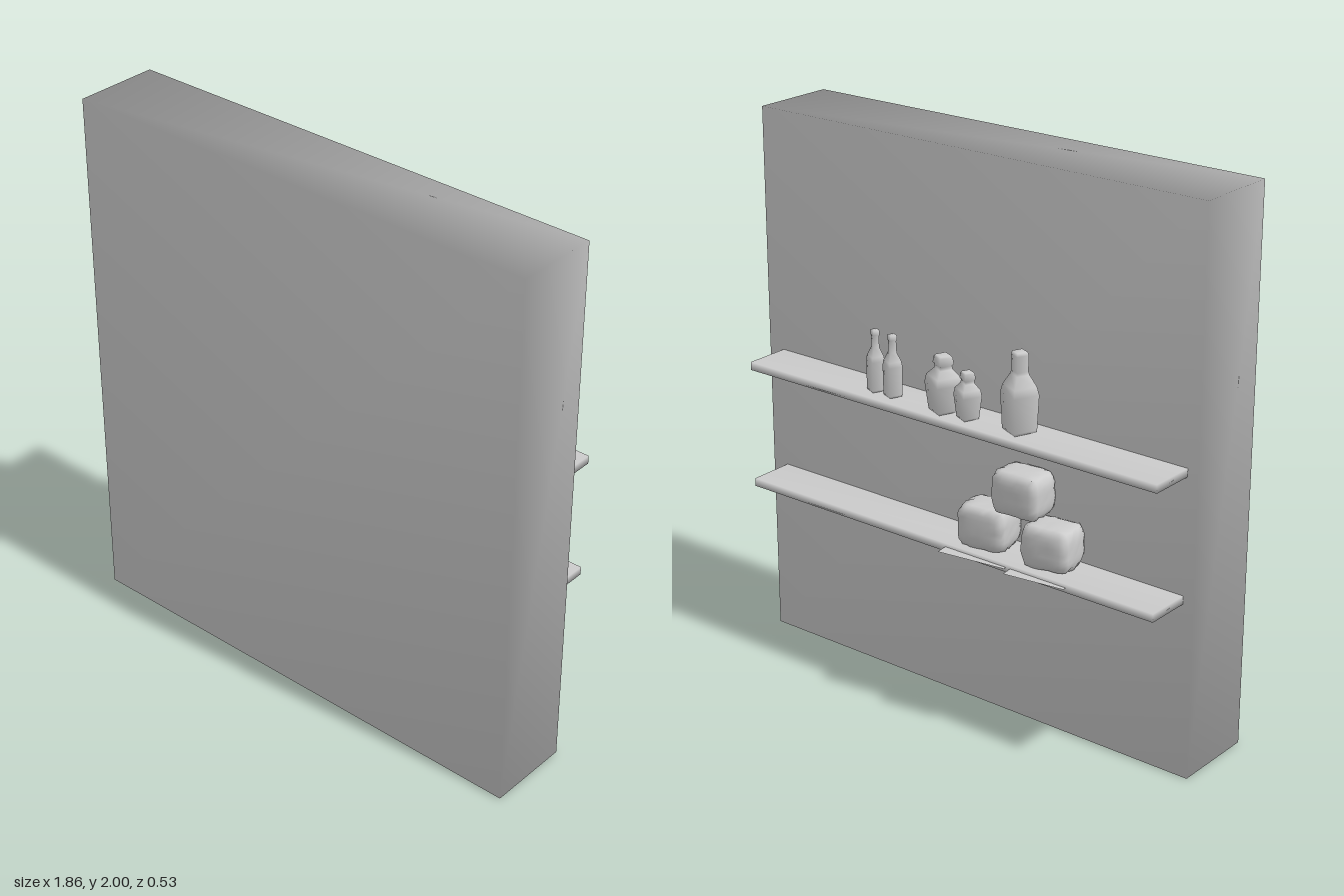
import * as THREE from 'three';
import { mergeVertices } from 'three/addons/utils/BufferGeometryUtils.js';

const material = new THREE.MeshStandardMaterial({ color: 0xcccccc });
const thinMaterial = new THREE.MeshStandardMaterial({ color: 0xcccccc, side: THREE.DoubleSide });

// Weld shared corners so that shading runs smoothly over the edges
function weld(geometry) {
  geometry.deleteAttribute('normal');
  geometry.deleteAttribute('uv');
  const welded = mergeVertices(geometry, 1e-4);
  welded.computeVertexNormals();
  return welded;
}

function add(parent, name, geometry, x, y, z, yaw = 0, mat = material) {
  const mesh = new THREE.Mesh(geometry, mat);
  mesh.name = name;
  mesh.position.set(x, y, z);
  mesh.rotation.y = yaw;
  parent.add(mesh);
  return mesh;
}

// Small seeded random numbers, from -1 to 1
function seeded(seed) {
  let s = seed;
  return () => {
    s = (s * 16807) % 2147483647;
    return (s / 2147483647) * 2 - 1;
  };
}

// Square bottle: profile radii and heights are fractions of r and h
function bottleGeometry(profile, r, h) {
  const points = profile.map(([pr, py]) => new THREE.Vector2(pr * r, py * h));
  const geometry = new THREE.LatheGeometry(points, 4);
  geometry.rotateY(Math.PI / 4);
  return geometry;
}

// Stuffed sack: a subdivided box with barrel sides, rounded corners and crumpled edges
function sackGeometry(w, h, d, seed) {
  const geometry = weld(new THREE.BoxGeometry(2, 2, 2, 8, 8, 8));
  const random = seeded(seed);
  const pos = geometry.attributes.position;
  const p = new THREE.Vector3();
  for (let i = 0; i < pos.count; i++) {
    p.fromBufferAttribute(pos, i);
    const { x, y, z } = p;
    const edge = (Math.abs(x) > 0.9) + (Math.abs(y) > 0.9) + (Math.abs(z) > 0.9) > 1;
    const noise = edge ? 0.035 : 0.012;
    p.x *= (1 - 0.14 * y ** 4) * (1 - 0.1 * z ** 4);
    p.z *= (1 - 0.14 * y ** 4) * (1 - 0.1 * x ** 4);
    p.y *= 1 - 0.09 * Math.max(x ** 4, z ** 4);
    p.x += random() * noise;
    p.y += random() * noise;
    p.z += random() * noise;
    pos.setXYZ(i, p.x * w / 2, p.y * h / 2, p.z * d / 2);
  }
  geometry.computeVertexNormals();
  return geometry;
}

export function createModel() {
  const model = new THREE.Group();
  model.name = 'wallWithShelves';

  // Thick wall panel
  add(model, 'wall', weld(new THREE.BoxGeometry(1.86, 2, 0.315)), 0, 1, 0.1075);

  // Two shelves on the back of the wall
  const shelf = weld(new THREE.BoxGeometry(1.755, 0.03, 0.172));
  add(model, 'lowerShelf', shelf, -0.0125, 0.65, -0.134);
  add(model, 'upperShelf', shelf, -0.0125, 1.099, -0.134);

  // Bottles on the upper shelf
  const slim = [[0, 0], [0.85, 0], [0.95, 0.04], [1, 0.5], [0.9, 0.58], [0.45, 0.72],
    [0.4, 0.9], [0.48, 0.92], [0.46, 1], [0, 1]];
  const tall = [[0, 0], [0.82, 0], [0.9, 0.04], [1, 0.48], [0.88, 0.58], [0.5, 0.72],
    [0.44, 0.76], [0.46, 0.96], [0.4, 1], [0, 1]];
  const squat = [[0, 0], [0.72, 0], [0.8, 0.05], [1, 0.5], [0.9, 0.64], [0.5, 0.76],
    [0.46, 0.82], [0.56, 0.86], [0.5, 0.97], [0.4, 1], [0, 1]];
  const bottles = new THREE.Group();
  bottles.name = 'bottles';
  model.add(bottles);
  const base = 1.112;
  [
    ['tallBottle', tall, 0.067, 1.393, -0.28, -0.135],
    ['smallSquatBottle', squat, 0.05, 1.28, -0.075, -0.153],
    ['squatBottle', squat, 0.067, 1.315, 0.03, -0.153],
    ['slimBottle', slim, 0.036, 1.335, 0.255, -0.153],
    ['slimBottle', slim, 0.034, 1.335, 0.335, -0.15],
  ].forEach(([name, profile, r, top, x, z]) => {
    add(bottles, name, bottleGeometry(profile, r, top - base), x, base, z, -0.4);
  });

  // Sacks stacked on the lower shelf
  const sacks = new THREE.Group();
  sacks.name = 'sacks';
  model.add(sacks);
  add(sacks, 'lowerSack', sackGeometry(0.185, 0.155, 0.145, 11), -0.415, 0.738, -0.125, 0.12);
  add(sacks, 'lowerSack', sackGeometry(0.19, 0.155, 0.145, 23), -0.145, 0.738, -0.125, 0.12);
  add(sacks, 'upperSack', sackGeometry(0.19, 0.155, 0.14, 37), -0.285, 0.893, -0.118, 0.05);

  // Thin cloths under the lower sacks
  [[-0.415, 0.23], [-0.15, 0.26]].forEach(([x, w]) => {
    const cloth = new THREE.PlaneGeometry(w, 0.23).rotateX(-Math.PI / 2);
    add(model, 'cloth', cloth, x, 0.652, -0.136, 0.13, thinMaterial);
  });

  return model;
}
